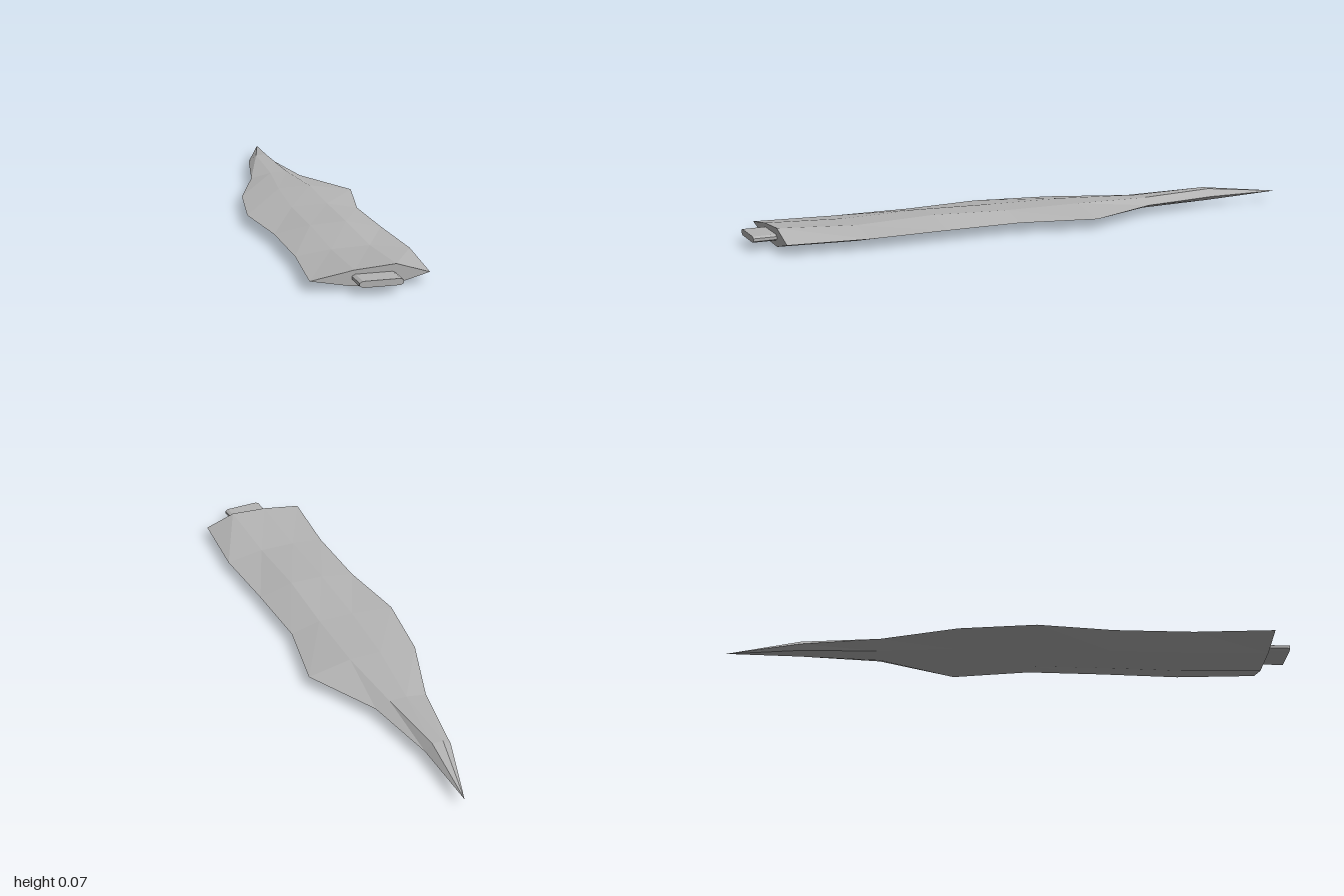
import * as THREE from 'three';

const steel = new THREE.MeshStandardMaterial({ color: 0xb4b4b4, flatShading: true });
steel.name = 'grey steel';

const EDGE_Y = 0.037;

// Blade stations: z, right edge x, upper ridges (x, y, x, y), left edge x, lower ridge heights
const STATIONS = [
  [0.92, -0.237, -0.093, 0.062, 0.042, 0.072, 0.152, 0.008, 0.011],
  [0.64, -0.205, -0.085, 0.052, 0.045, 0.056, 0.182, 0.001, 0.007],
  [0.36, -0.2, -0.075, 0.06, 0.05, 0.066, 0.175, 0.006, 0.01],
  [0.09, -0.225, -0.065, 0.056, 0.065, 0.06, 0.175, 0.012, 0.014],
  [-0.18, -0.178, -0.04, 0.058, 0.077, 0.062, 0.235, 0.017, 0.018],
  [-0.45, -0.075, 0.0, 0.053, 0.064, 0.055, 0.115, 0.018, 0.02],
  [-0.73, -0.015, 0.015, 0.06, 0.055, 0.062, 0.08, 0.02, 0.021],
];

function bladeGeometry() {
  const points = [];
  const index = [];
  const n = 6;
  // Six-sided ring at each station
  for (const [z, x0, x1, y1, x2, y2, x3, low2, low1] of STATIONS) {
    points.push(x0, EDGE_Y, z, x1, y1, z, x2, y2, z, x3, EDGE_Y, z, x2, low2, z, x1 - 0.01, low1, z);
  }
  const tip = STATIONS.length * n;
  points.push(0.087, EDGE_Y, -1);
  // Sides between rings, then the point
  for (let i = 0; i < STATIONS.length; i++) {
    for (let j = 0; j < n; j++) {
      const a = i * n + j;
      const b = i * n + (j + 1) % n;
      if (i === STATIONS.length - 1) index.push(a, b, tip);
      else index.push(a, b, b + n, a, b + n, a + n);
    }
  }
  // Flat heel at the handle end
  for (let j = 1; j < n - 1; j++) index.push(0, j + 1, j);
  const geometry = new THREE.BufferGeometry();
  geometry.setAttribute('position', new THREE.Float32BufferAttribute(points, 3));
  geometry.setIndex(index);
  const flat = geometry.toNonIndexed();
  flat.computeVertexNormals();
  return flat;
}

// Chamfered tab that plugs into a handle
function tangGeometry() {
  const w = 0.071, h = 0.0105, cx = 0.011, cy = 0.005;
  const shape = new THREE.Shape([
    [-w, -cy], [-w + cx, -h], [w - cx, -h], [w, -cy],
    [w, cy], [w - cx, h], [-w + cx, h], [-w, cy],
  ].map(([x, y]) => new THREE.Vector2(x, y)));
  return new THREE.ExtrudeGeometry(shape, { depth: 0.09, bevelEnabled: false });
}

export function createModel() {
  const group = new THREE.Group();
  group.name = 'bladeWithTang';

  const blade = new THREE.Mesh(bladeGeometry(), steel);
  blade.name = 'blade';

  const tang = new THREE.Mesh(tangGeometry(), steel);
  tang.name = 'tang';
  tang.position.set(-0.031, 0.038, 0.91);

  group.add(blade, tang);
  return group;
}
